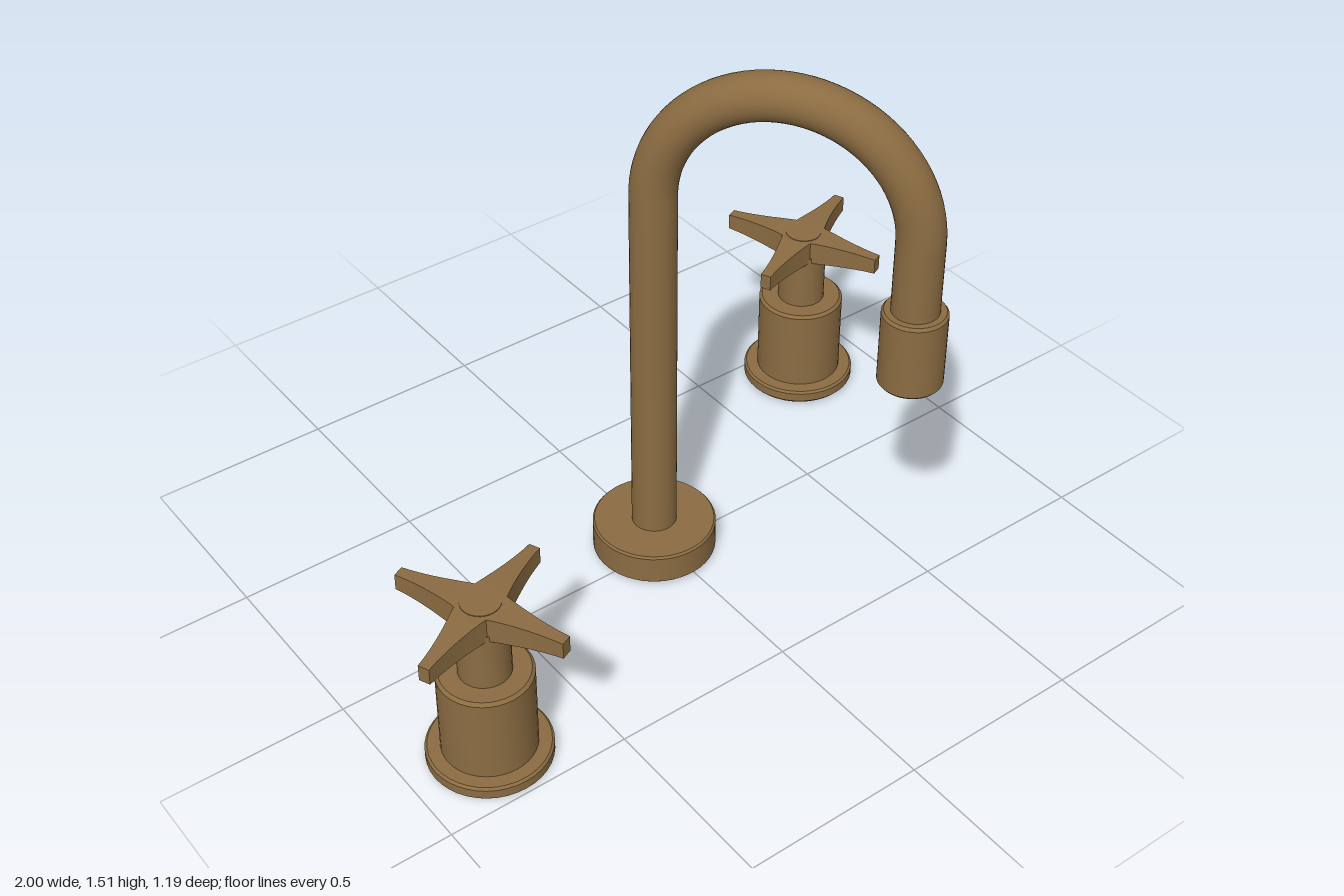
import * as THREE from 'three';
import { toCreasedNormals } from 'three/addons/utils/BufferGeometryUtils.js';

const bronze = new THREE.MeshStandardMaterial({ color: 0x8b6c42 });
bronze.name = 'brushed bronze';

function mesh(name, geometry) {
  const m = new THREE.Mesh(geometry, bronze);
  m.name = name;
  return m;
}

// Turned part with crisp edges; profile is [radius, y], from inside round to the outside top
function turned(name, profile, segments = 40) {
  const pts = profile.map(([r, y]) => new THREE.Vector2(r, y));
  return mesh(name, toCreasedNormals(new THREE.LatheGeometry(pts, segments), 0.6));
}

// Straight riser, half circle and short drop, walked by length
class SpoutPath extends THREE.Curve {
  getPoint(t, target = new THREE.Vector3()) {
    const y0 = 0.08, y1 = 1.125, r = 0.329, drop = 0.22;
    const rise = y1 - y0, arc = Math.PI * r;
    const s = t * (rise + arc + drop);
    if (s < rise) return target.set(0, y0 + s, 0);
    if (s < rise + arc) {
      const a = (s - rise) / r;
      return target.set(r - r * Math.cos(a), y1 + r * Math.sin(a), 0);
    }
    return target.set(2 * r, y1 - (s - rise - arc), 0);
  }
}

function createSpout() {
  const spout = new THREE.Group();
  spout.name = 'spout';
  spout.add(turned('spoutBase', [
    [0, 0.07], [0.05, 0.07], [0.05, 0.008], [0.16, 0.008], [0.165, 0.013],
    [0.165, 0.09], [0.16, 0.096], [0, 0.096],
  ], 48));
  spout.add(mesh('spoutTube', new THREE.TubeGeometry(new SpoutPath(), 96, 0.06, 32)));
  const nozzle = turned('nozzle', [
    [0, 0.77], [0.052, 0.77], [0.052, 0.72], [0.077, 0.72], [0.082, 0.726],
    [0.082, 0.923], [0.076, 0.931], [0, 0.931],
  ]);
  nozzle.position.x = 0.658;
  spout.add(nozzle);
  return spout;
}

// Tapered arm: narrows and thins from the hub to the tip
function armGeometry() {
  const length = 0.232;
  const g = new THREE.BoxGeometry(length, 1, 1, 8, 1, 1);
  const p = g.attributes.position;
  for (let i = 0; i < p.count; i++) {
    const t = p.getX(i) / length + 0.5;
    const halfWidth = 0.015 + 0.042 * Math.pow(1 - t, 1.7);
    const thin = 0.011 * Math.max(0, (t - 0.3) / 0.7);
    const y = p.getY(i) > 0 ? 0.497 - thin : 0.43 + thin;
    p.setXYZ(i, t * length, y, Math.sign(p.getZ(i)) * halfWidth);
  }
  return toCreasedNormals(g, 0.5);
}

function createHandle(name, x, y, z) {
  const handle = new THREE.Group();
  handle.name = name;
  handle.position.set(x, y, z);
  // Hollow flange and body
  handle.add(turned('handleBody', [
    [0, 0.24], [0.105, 0.24], [0.105, 0], [0.152, 0], [0.158, 0.007],
    [0.158, 0.032], [0.152, 0.038], [0.12, 0.04], [0.12, 0.274],
    [0.112, 0.282], [0, 0.282],
  ]));
  handle.add(turned('handleStem', [[0.066, 0.27], [0.066, 0.445], [0, 0.445]], 32));
  // Cross grip
  const cross = new THREE.Group();
  cross.name = 'crossGrip';
  cross.rotation.y = THREE.MathUtils.degToRad(23.5);
  const arm = armGeometry();
  for (let i = 0; i < 4; i++) {
    const m = mesh('crossArm', arm);
    m.rotation.y = i * Math.PI / 2;
    cross.add(m);
  }
  cross.add(turned('crossCap', [[0.05, 0.44], [0.05, 0.499], [0, 0.499]], 32));
  handle.add(cross);
  return handle;
}

export function createModel() {
  const model = new THREE.Group();
  model.name = 'widespreadTap';
  const spout = createSpout();
  spout.position.set(-0.016, 0, -0.027);
  spout.rotation.y = -Math.atan2(0.539, 0.377);
  model.add(spout);
  model.add(createHandle('rightHandle', -0.783, 0, 0.335));
  model.add(createHandle('leftHandle', 0.779, 0.005, -0.381));
  return model;
}
